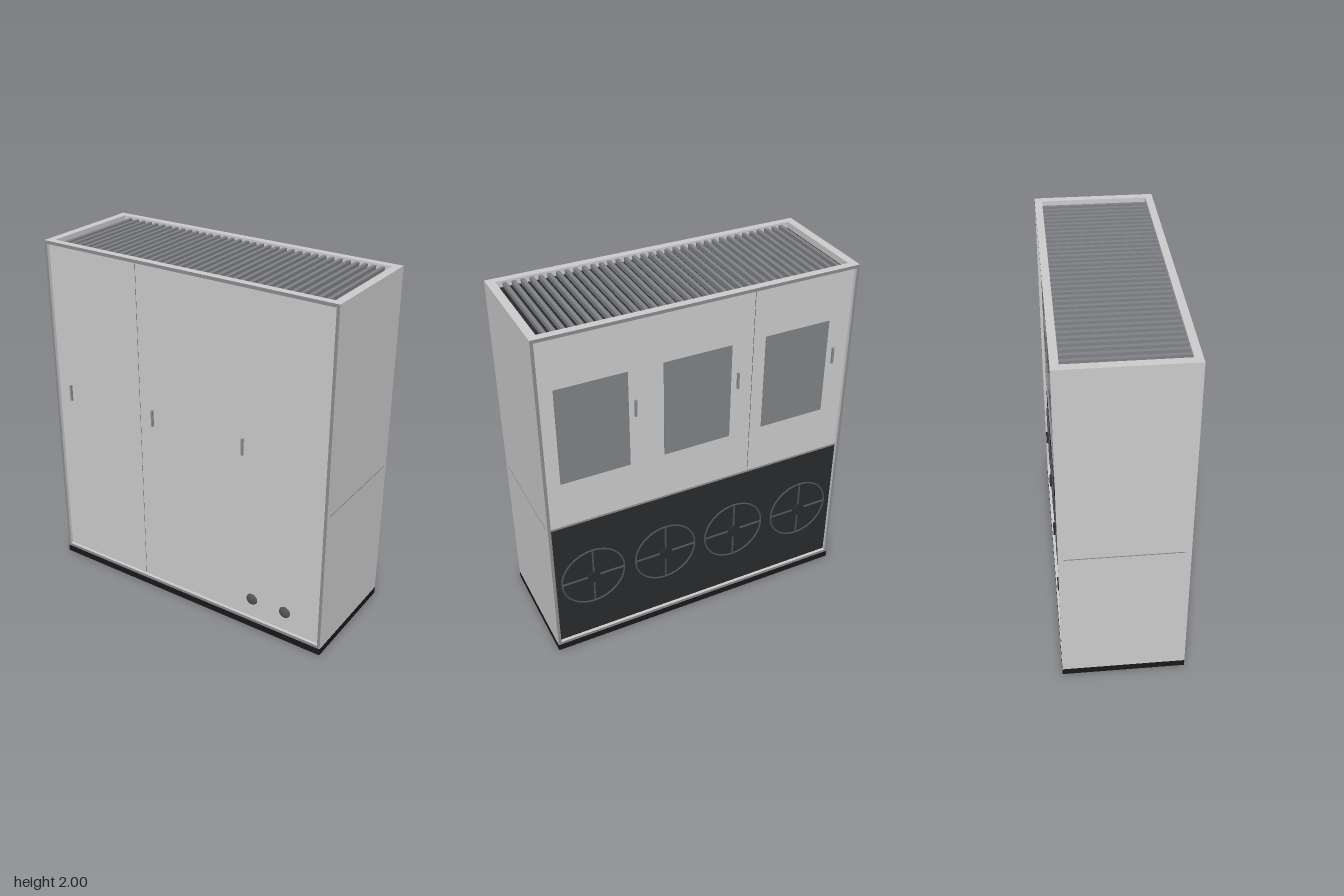
import * as THREE from 'three';

const mat = (color) => new THREE.MeshStandardMaterial({ color });

export function createModel() {
  const group = new THREE.Group();
  const grey = mat(0xcccccc), trim = mat(0x8a8c8f), dark = mat(0x292a2c);
  const black = mat(0x191919), glass = mat(0x808387), metal = mat(0x505356), slat = mat(0x808287);
  const W = 0.893, D = 0.337, BASE = 0.04, TOP = 2;
  const FACE = 0.319; // depth of the recessed door faces

  const add = (name, geometry, material, x = 0, y = 0, z = 0, parent = group) => {
    const mesh = new THREE.Mesh(geometry, material);
    mesh.name = name;
    mesh.position.set(x, y, z);
    parent.add(mesh);
    return mesh;
  };
  // box given by its limits
  const block = (name, material, x0, x1, y0, y1, z0, z1, parent) =>
    add(name, new THREE.BoxGeometry(x1 - x0, y1 - y0, z1 - z0), material,
      (x0 + x1) / 2, (y0 + y1) / 2, (z0 + z1) / 2, parent);
  const rect = (Type, x0, x1, y0, y1) => new Type([
    new THREE.Vector2(x0, y0), new THREE.Vector2(x1, y0),
    new THREE.Vector2(x1, y1), new THREE.Vector2(x0, y1)]);
  const ring = (outer, inner, depth) => {
    const shape = rect(THREE.Shape, ...outer);
    shape.holes.push(rect(THREE.Path, ...inner));
    return new THREE.ExtrudeGeometry(shape, { depth, bevelEnabled: false });
  };

  // cabinet shell
  block('plinth', black, -W, W, 0, BASE, -D, D);
  block('cabinetBody', grey, -W, W, BASE, 1.96, -0.31, 0.31);
  const rim = add('topRim', ring([-W, W, -0.31, 0.31], [-0.848, 0.848, -0.296, 0.296], 0.04), grey, 0, 1.96, 0);
  rim.rotation.x = -Math.PI / 2;

  // front and back frames around the recessed doors
  const IN = 0.876, LOW = 0.058, HIGH = 1.982;
  for (const [name, z] of [['frontFrame', 0.31], ['backFrame', -D]]) {
    add(name, ring([-W, W, BASE, TOP], [-IN, IN, LOW, HIGH], D - 0.31), [trim, grey], 0, 0, z);
  }

  // ventilation grille in the roof
  const grille = new THREE.Group();
  grille.name = 'roofGrille';
  group.add(grille);
  block('grilleFloor', dark, -0.848, 0.848, 1.955, 1.965, -0.296, 0.296, grille);
  const pitch = 1.696 / 36;
  for (let i = 1; i < 36; i++) {
    const x = -0.848 + i * pitch;
    block('grilleSlat', slat, x - 0.01, x + 0.01, 1.965, 1.99, -0.296, 0.296, grille);
  }

  // doors with one dark seam, front and back
  const SEAM = -0.292, GAP = 0.002, MID = 0.862;
  for (const [side, s, bottom] of [['front', 1, LOW], ['back', -1, MID + 0.005]]) {
    const z0 = Math.min(s * 0.31, s * FACE), z1 = Math.max(s * 0.31, s * FACE);
    block(side + 'NarrowDoor', grey, -IN, SEAM - GAP, bottom, HIGH, z0, z1);
    block(side + 'WideDoor', grey, SEAM + GAP, IN, bottom, HIGH, z0, z1);
    block(side + 'DoorSeam', metal, SEAM - GAP, SEAM + GAP, bottom, HIGH,
      Math.min(s * 0.31, s * 0.316), Math.max(s * 0.31, s * 0.316));
    for (const x of [-0.789, -0.206, 0.376]) {
      add(side + 'Handle', new THREE.BoxGeometry(0.011, 0.095, 0.014), trim,
        x, side === 'front' ? 1.115 : 1.48, s * (FACE + 0.005));
    }
  }

  // windows in the back doors
  for (const x of [-0.556, 0.026, 0.605]) {
    block('backWindow', glass, x - 0.193, x + 0.193, 1.14, 1.7, -FACE - 0.002, -FACE + 0.002);
  }

  // lower back fan panel and its dividing rail
  block('fanPanel', dark, -IN, IN, LOW, MID - 0.005, -FACE, -0.31);
  block('backRail', trim, -IN, IN, MID - 0.005, MID + 0.005, -FACE - 0.004, -0.31);
  for (const x of [-0.653, -0.217, 0.217, 0.653]) {
    const fan = new THREE.Group();
    fan.name = 'fan';
    fan.position.set(x, 0.46, -FACE);
    group.add(fan);
    add('fanRing', new THREE.TorusGeometry(0.184, 0.005, 8, 32), metal, 0, 0, -0.002, fan);
    add('fanSpoke', new THREE.BoxGeometry(0.368, 0.007, 0.008), metal, 0, 0, -0.004, fan);
    add('fanSpoke', new THREE.BoxGeometry(0.007, 0.368, 0.008), metal, 0, 0, -0.004, fan);
    const hub = add('fanHub', new THREE.CylinderGeometry(0.036, 0.036, 0.02, 24), dark, 0, 0, -0.009, fan);
    hub.rotation.x = Math.PI / 2;
  }

  // round knobs low on the front
  for (const x of [0.45, 0.66]) {
    const knob = add('frontKnob', new THREE.SphereGeometry(0.034, 24, 16), metal, x, 0.176, FACE);
    knob.scale.z = 0.5;
  }

  // panel joint line on each side
  for (const s of [-1, 1]) {
    add('sideJoint', new THREE.BoxGeometry(0.002, 0.005, 0.62), trim, s * W, 0.868, 0);
  }
  return group;
}
